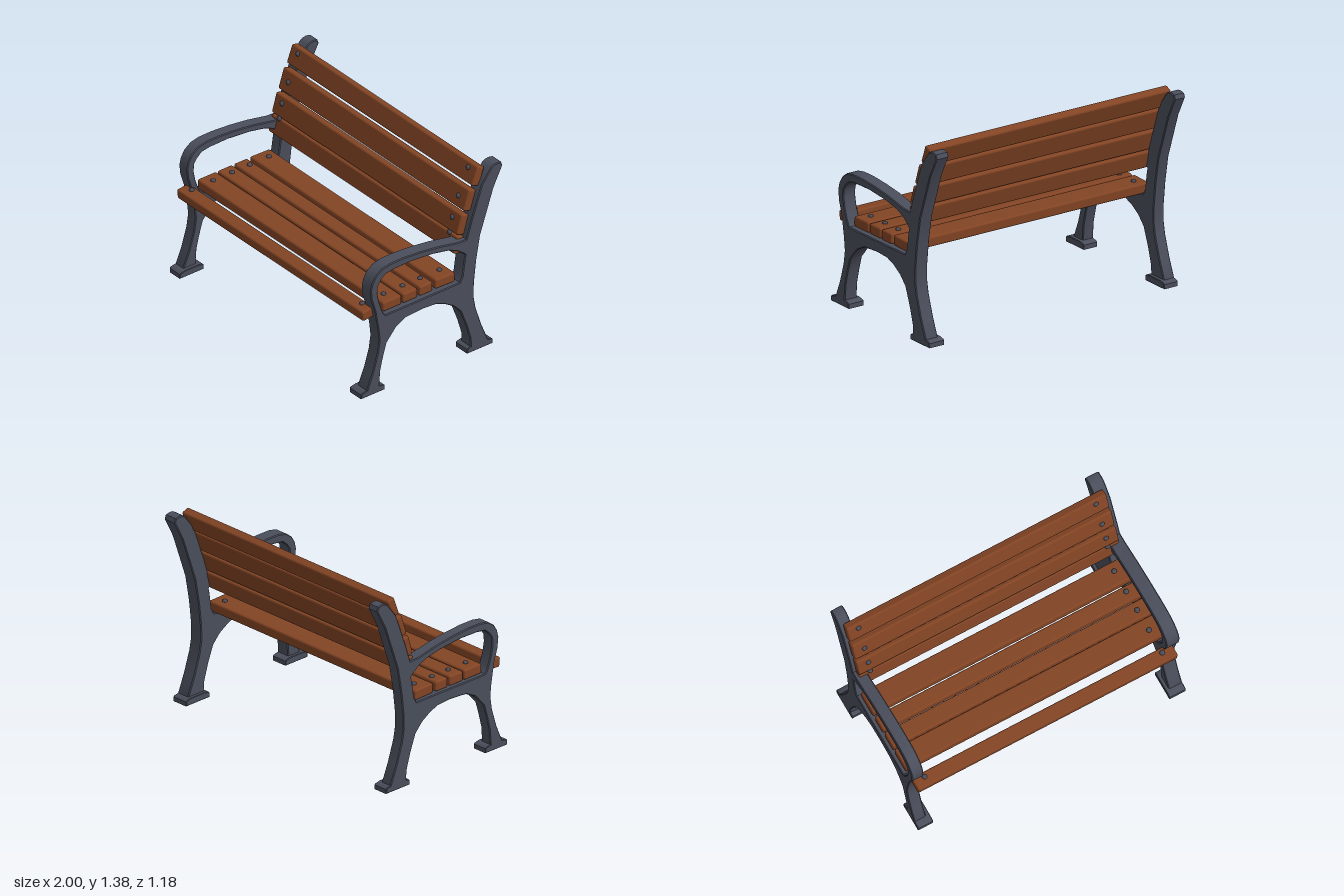
import * as THREE from 'three';
import { toCreasedNormals } from 'three/addons/utils/BufferGeometryUtils.js';
import { RoundedBoxGeometry } from 'three/addons/geometries/RoundedBoxGeometry.js';

const toPoints = (pairs) => pairs.map(([z, y]) => new THREE.Vector2(z, y));

// Side frame outline as (z, y): front leg, arm, back post, rear leg, arch
const OUTLINE = [
  [0.545, 0.02], [0.545, 0.045], [0.495, 0.165], [0.454, 0.3], [0.44, 0.395], [0.45, 0.487],
  [0.476, 0.634], [0.505, 0.725], [0.513, 0.8], [0.5, 0.853], [0.47, 0.9], [0.418, 0.938],
  [0.35, 0.952], [0.24, 0.953], [0.095, 0.942], [-0.05, 0.923], [-0.216, 0.89], [-0.29, 0.886],
  [-0.326, 1.0], [-0.418, 1.256], [-0.498, 1.36], [-0.52, 1.373], [-0.546, 1.377], [-0.582, 1.37],
  [-0.593, 1.34], [-0.52, 1.198], [-0.407, 0.872], [-0.374, 0.69], [-0.355, 0.524],
  [-0.353, 0.414], [-0.37, 0.322], [-0.418, 0.176], [-0.47, 0.048], [-0.47, 0.02],
  [-0.326, 0.02], [-0.322, 0.11], [-0.286, 0.23], [-0.24, 0.35], [-0.18, 0.414], [-0.106, 0.46],
  [-0.033, 0.487], [0.077, 0.494], [0.216, 0.484], [0.297, 0.443], [0.377, 0.352],
  [0.407, 0.25], [0.43, 0.157], [0.44, 0.02],
];

// Opening between the arm and the seat rail
const OPENING = [
  [0.403, 0.59], [0.388, 0.573], [0.24, 0.573], [-0.234, 0.575], [-0.256, 0.615],
  [-0.275, 0.744], [-0.282, 0.77], [-0.26, 0.79], [-0.216, 0.824], [-0.143, 0.857],
  [-0.015, 0.883], [0.168, 0.9], [0.315, 0.897], [0.388, 0.886], [0.425, 0.853],
  [0.45, 0.817], [0.454, 0.76], [0.44, 0.69], [0.418, 0.626],
];

// Extrude a (z, y) outline so that it spans x0..x1
function extrudeAcross(outline, holes, x0, x1, bevel) {
  const shape = new THREE.Shape(toPoints(outline));
  holes.forEach((hole) => shape.holes.push(new THREE.Path(toPoints(hole))));
  const geometry = new THREE.ExtrudeGeometry(shape, {
    depth: x1 - x0 - 2 * bevel,
    bevelThickness: bevel,
    bevelSize: bevel,
    bevelOffset: -bevel,
    bevelSegments: 1,
  });
  geometry.rotateY(-Math.PI / 2);
  geometry.translate(x1 - bevel, 0, 0);
  return toCreasedNormals(geometry, 0.6);
}

export function createModel() {
  const wood = new THREE.MeshStandardMaterial({ color: 0x824424 });
  wood.name = 'brown wood';
  const iron = new THREE.MeshStandardMaterial({ color: 0x4a4e5b });
  iron.name = 'dark iron';

  const bench = new THREE.Group();
  bench.name = 'bench';

  const add = (parent, name, geometry, material) => {
    const mesh = new THREE.Mesh(geometry, material);
    mesh.name = name;
    parent.add(mesh);
    return mesh;
  };

  // Cast side frames with wider feet
  const frame = (name, x0, x1, foot0, foot1) => {
    const group = new THREE.Group();
    group.name = name;
    add(group, 'sideFrame', extrudeAcross(OUTLINE, [OPENING], x0, x1, 0.006), iron);
    for (const [label, back, front] of [['frontFoot', 0.393, 0.592], ['rearFoot', -0.51, -0.297]]) {
      const profile = [
        [back, 0], [front, 0], [front, 0.032], [front - 0.008, 0.04],
        [front - 0.045, 0.048], [back + 0.045, 0.048], [back + 0.008, 0.04], [back, 0.032],
      ];
      add(group, label, extrudeAcross(profile, [], foot0, foot1, 0.004), iron);
    }
    bench.add(group);
  };
  frame('leftFrame', 0.9, 1, 0.877, 1);
  frame('rightFrame', -1, -0.914, -1, -0.887);

  const boltGeometry = new THREE.SphereGeometry(0.018, 14, 8);

  // One plank with a bolt near each end; boltAxis is the face the bolts sit on
  const slat = (name, z, y, depth, height, tilt, boltAxis, boltShift) => {
    const group = new THREE.Group();
    group.name = name;
    group.position.set(-0.005, y, z);
    group.rotation.x = tilt;
    add(group, 'plank', new RoundedBoxGeometry(1.94, height, depth, 3, 0.014), wood);
    for (const x of [-0.89, 0.885]) {
      const bolt = add(group, 'bolt', boltGeometry, iron);
      if (boltAxis === 'y') {
        bolt.position.set(x, height / 2, boltShift);
        bolt.scale.y = 0.85;
      } else {
        bolt.position.set(x, boltShift, depth / 2);
        bolt.scale.z = 0.8;
      }
    }
    bench.add(group);
  };

  // Seat: z centre, y centre, depth, tilt, bolt shift
  [
    [0.501, 0.605, 0.1, 0.1, -0.015],
    [0.303, 0.609, 0.158, 0, 0.008],
    [0.152, 0.609, 0.122, 0, 0],
    [0.019, 0.609, 0.11, 0, -0.015],
    [-0.141, 0.609, 0.165, -0.03, -0.015],
  ].forEach(([z, y, depth, tilt, shift], i) =>
    slat('seatSlat' + (i + 1), z, y, depth, 0.073, tilt, 'y', shift));

  // Backrest: z centre, y centre, height, lean, bolt shift
  [
    [-0.418, 1.305, 0.14, 0.36, 0.03],
    [-0.348, 1.146, 0.155, 0.32, 0.0],
    [-0.29, 0.982, 0.148, 0.29, 0.022],
    [-0.258, 0.838, 0.128, 0.24, 0.062],
  ].forEach(([z, y, height, lean, shift], i) =>
    slat('backSlat' + (i + 1), z, y, 0.062, height, -lean, 'z', shift));

  return bench;
}
